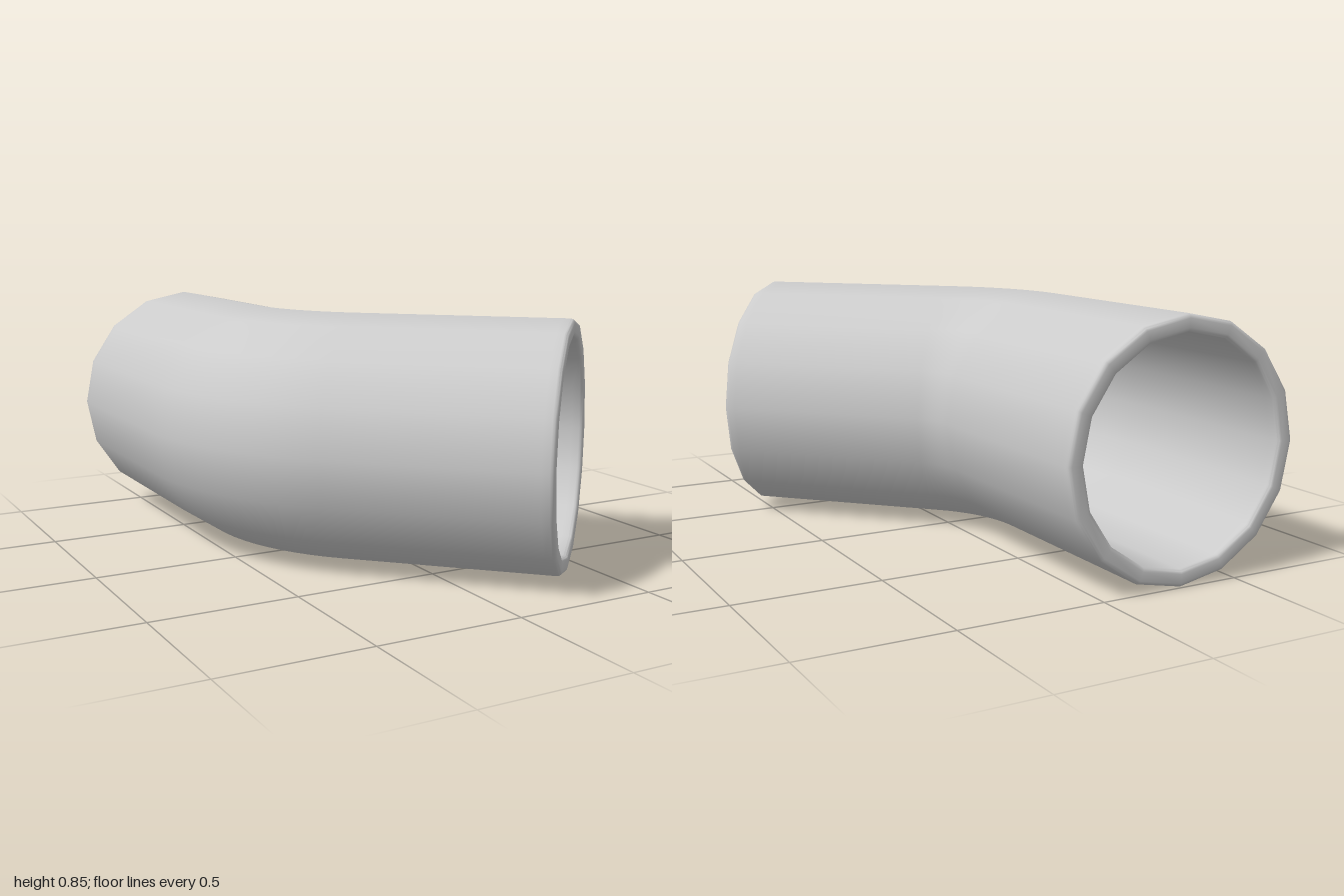
import * as THREE from 'three';
import { toCreasedNormals } from 'three/addons/utils/BufferGeometryUtils.js';

const SIDES = 16, OUTER = 0.427, INNER = 0.37, MID_Y = 0.427;
const BEND = Math.PI / 4, BEND_RADIUS = 0.6;
const START_X = -0.29, START_Z = -1;
const TANGENT = BEND_RADIUS * Math.tan(BEND / 2);
const LEG_A = 1 - TANGENT, LEG_B = 0.99 - TANGENT;
const ARC = BEND * BEND_RADIUS, LENGTH = LEG_A + ARC + LEG_B;

// Centre line: straight leg, 45 degree arc, straight leg
function frameAt(s) {
  const a = THREE.MathUtils.clamp((s - LEG_A) / BEND_RADIUS, 0, BEND);
  const before = Math.min(s, LEG_A), after = Math.max(s - LEG_A - ARC, 0);
  return {
    a,
    x: START_X + BEND_RADIUS * (1 - Math.cos(a)) + after * Math.sin(a),
    z: START_Z + before + BEND_RADIUS * Math.sin(a) + after * Math.cos(a),
  };
}

// Closed wall section as [distance along pipe, radius] rows
function wallRows() {
  const bevel = 0.014, steps = 3, bendSteps = 10;
  const stations = [0.04];
  for (let i = 0; i <= bendSteps; i++) stations.push(LEG_A + ARC * i / bendSteps);
  stations.push(LENGTH - 0.04);

  const round = (s, r, from) => Array.from({ length: steps + 1 }, (_, i) => {
    const t = from + (Math.PI / 2) * i / steps;
    return [s + bevel * Math.sin(t), r + bevel * Math.cos(t)];
  });
  return [
    ...stations.map((s) => [s, OUTER]),
    ...round(LENGTH - bevel, OUTER - bevel, 0),
    ...round(LENGTH - bevel, INNER + bevel, Math.PI / 2),
    ...stations.slice().reverse().map((s) => [s, INNER]),
    ...round(bevel, INNER + bevel, Math.PI),
    ...round(bevel, OUTER - bevel, Math.PI * 1.5),
  ];
}

function pipeGeometry() {
  const rows = wallRows(), positions = [], index = [];
  rows.forEach(([s, r], i) => {
    const { a, x, z } = frameAt(s);
    const next = (i + 1) % rows.length;
    for (let j = 0; j < SIDES; j++) {
      const t = (j / SIDES) * Math.PI * 2, side = r * Math.cos(t);
      positions.push(x + side * Math.cos(a), MID_Y + r * Math.sin(t), z - side * Math.sin(a));
      const k = (j + 1) % SIDES;
      const p = i * SIDES + j, q = i * SIDES + k;
      const u = next * SIDES + j, v = next * SIDES + k;
      index.push(p, q, u, q, v, u);
    }
  });
  const geometry = new THREE.BufferGeometry();
  geometry.setAttribute('position', new THREE.Float32BufferAttribute(positions, 3));
  geometry.setIndex(index);
  return toCreasedNormals(geometry, 0.7);
}

export function createModel() {
  const group = new THREE.Group();
  group.name = 'pipeElbow';
  const pipe = new THREE.Mesh(pipeGeometry(), new THREE.MeshStandardMaterial({ color: 0xcccccc }));
  pipe.name = 'bentPipe';
  group.add(pipe);
  return group;
}
